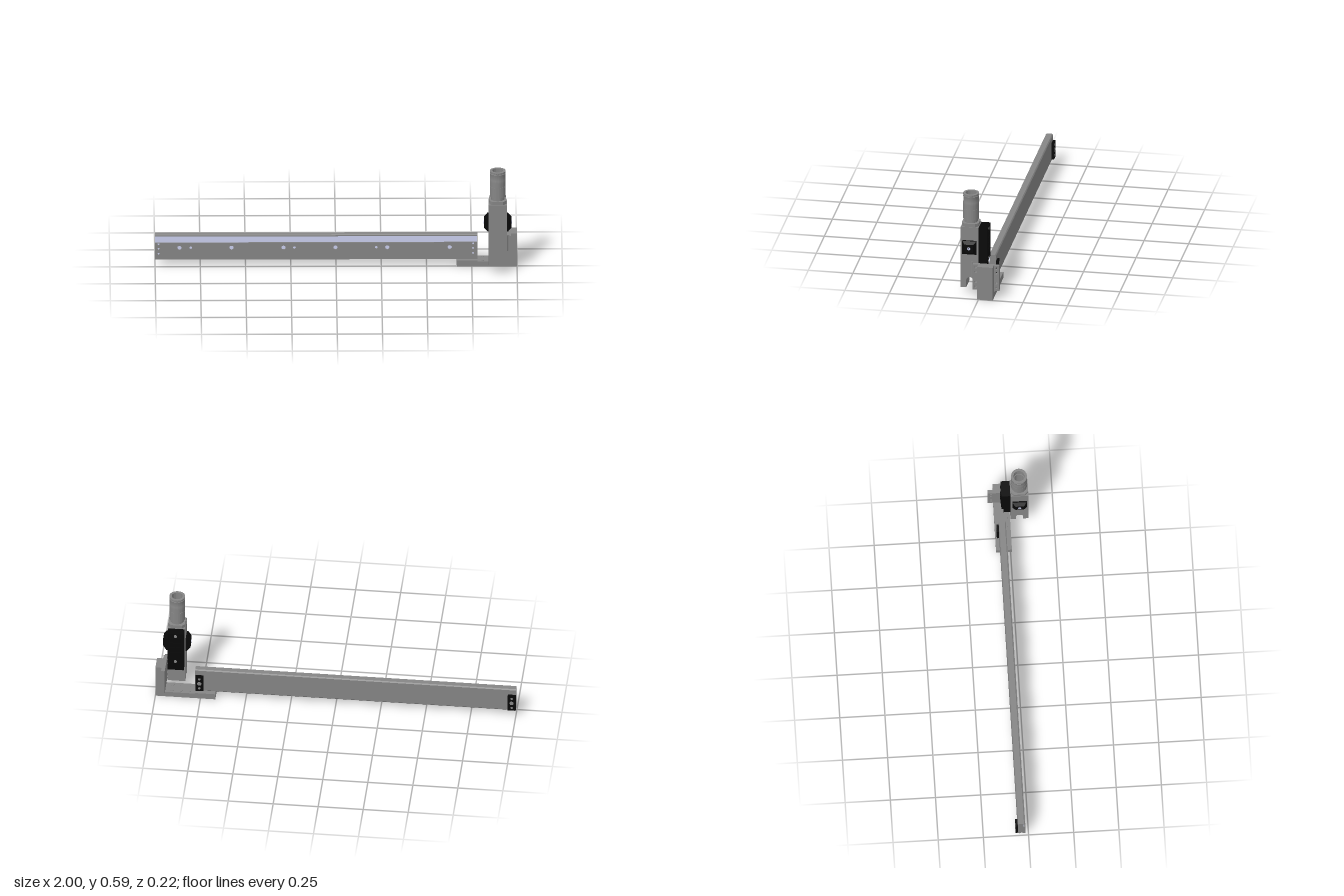
import * as THREE from 'three';
import { toCreasedNormals } from 'three/addons/utils/BufferGeometryUtils.js';

const mat = (color) => new THREE.MeshStandardMaterial({ color });
const grey = mat(0x858585);
const black = mat(0x080808);
const lavender = mat(0xcacfee);

export function createModel() {
  const model = new THREE.Group();

  const add = (name, geometry, material = grey) => {
    const mesh = new THREE.Mesh(geometry, material);
    mesh.name = name;
    model.add(mesh);
  };
  // Box given by its min and max on each axis
  const box = (name, x0, x1, y0, y1, z0, z1, material) =>
    add(name, new THREE.BoxGeometry(x1 - x0, y1 - y0, z1 - z0)
      .translate((x0 + x1) / 2, (y0 + y1) / 2, (z0 + z1) / 2), material);
  const polygon = (points) => new THREE.Shape(points.map(([a, b]) => new THREE.Vector2(a, b)));
  const rect = (a0, a1, b0, b1) => polygon([[a0, b0], [a1, b0], [a1, b1], [a0, b1]]);
  const punch = (shape, a, b, r) => shape.holes.push(new THREE.Path().absarc(a, b, r, 0, Math.PI * 2, true));
  const extrude = (shape, depth) => new THREE.ExtrudeGeometry(shape, { depth, bevelEnabled: false, curveSegments: 16 });
  // Shape drawn in (-z, y), swept from x0 to x1
  const sweepX = (shape, x0, x1) => extrude(shape, x1 - x0).rotateY(Math.PI / 2).translate(x0, 0, 0);
  // Shape drawn in (x, -z), swept from y0 to y1
  const sweepY = (shape, y0, y1) => extrude(shape, y1 - y0).rotateX(-Math.PI / 2).translate(0, y0, 0);
  // Small disc facing along z
  const stud = (name, x, y, z, r, h) =>
    add(name, new THREE.CylinderGeometry(r, r, h, 16).rotateX(Math.PI / 2).translate(x, y, z));

  // Long rail: back section with a top lip and a groove under it
  const railEnd = 0.781;
  add('railBody', sweepX(polygon([
    [0.027, 0.035], [0.033, 0.035], [0.033, 0.042], [0.041, 0.042], [0.041, 0.035], [0.052, 0.035],
    [0.059, 0.042], [0.059, 0.175], [0.054, 0.181], [0.025, 0.181], [0.02, 0.177],
    [0.02, 0.171], [0.027, 0.171],
  ]), -1, railEnd));
  box('railInnerStrip', -0.999, railEnd - 0.001, 0.05, 0.171, -0.031, -0.024, lavender);

  // Rail front cover with screw holes
  const cover = rect(-1, railEnd, 0.035, 0.135);
  [-0.865, -0.577, -0.29, -0.003, 0.283, 0.628].forEach((x) => punch(cover, x, 0.105, 0.012));
  [-0.802, -0.23, 0.222].forEach((x) => punch(cover, x, 0.105, 0.008));
  [-0.98, 0.757].forEach((x) => [0.07, 0.1, 0.127].forEach((y) => punch(cover, x, y, 0.006)));
  add('railFrontCover', extrude(cover, 0.01).translate(0, 0, -0.027));

  // Black end plates with screws on the back of the rail
  [-0.978, 0.757].forEach((x) => {
    add('railEndPlate', extrude(rect(x - 0.022, x + 0.022, 0.045, 0.145), 0.013).translate(0, 0, -0.072), black);
    [[0.064, 0.007], [0.095, 0.012], [0.126, 0.007]].forEach(([y, r]) => stud('railEndScrew', x, y, -0.072, r, 0.003));
  });

  // Angle bracket: base, end wall and drilled flange
  box('bracketBase', 0.667, 0.97, 0, 0.031, -0.08, 0.008);
  box('bracketRailSeat', 0.667, railEnd, 0.031, 0.035, -0.08, 0.008);
  box('bracketWall', 0.965, 1, 0, 0.195, -0.08, 0.008);
  const flange = rect(-0.04, 0.11, 0.045, 0.195);
  [0.062, 0.09, 0.15, 0.177].forEach((y) => [-0.022, 0.093].forEach((a) => punch(flange, a, y, 0.007)));
  add('bracketFlange', sweepX(flange, 0.945, 0.966));
  [0.81, 0.86, 0.91].forEach((x) => [-0.06, -0.012].forEach((z) =>
    add('baseScrew', new THREE.CylinderGeometry(0.008, 0.008, 0.003, 16).translate(x, 0.031, z))));

  // Upright drive housing with a bore from top to bottom
  const cx = 0.893, cz = 0.06, half = 0.05, boreRadius = 0.026, slotRadius = 0.019, archTop = 0.107;
  const section = rect(cx - half, cx + half, -cz - half, -cz + half);
  punch(section, cx, -cz, boreRadius);
  add('housing', sweepY(section, archTop, 0.405));

  // Two legs at the foot, which form an arched slot
  const leg = new THREE.Shape();
  leg.moveTo(slotRadius, 0.045);
  leg.lineTo(half, 0.045);
  leg.lineTo(half, archTop);
  leg.lineTo(0, archTop);
  leg.absarc(0, archTop - slotRadius, slotRadius, Math.PI / 2, 0, true);
  [0, Math.PI].forEach((turn) =>
    add('housingLeg', sweepX(leg, -half, half).rotateY(turn).translate(cx, 0, cz)));

  // Concave fillet between housing and flange
  const fillet = new THREE.Shape();
  fillet.moveTo(cx + half, -0.055);
  fillet.quadraticCurveTo(cx + half, -0.04, cx + half + 0.015, -0.04);
  fillet.lineTo(cx + half, -0.04);
  add('flangeFillet', sweepY(fillet, archTop, 0.2));

  // Black terminal block behind the housing, with ribs and screws
  add('terminalBlock', sweepX(polygon([
    [-0.011, 0.148], [0.028, 0.148], [0.028, 0.203], [0.04, 0.203], [0.04, 0.403], [-0.011, 0.403],
  ]), 0.848, 0.938), black);
  [0.265, 0.3, 0.33, 0.362].forEach((y) => box('terminalRib', 0.863, 0.923, y - 0.013, y + 0.013, -0.044, -0.039, black));
  stud('terminalScrew', cx, 0.388, -0.04, 0.009, 0.004);
  stud('terminalScrew', cx, 0.215, -0.04, 0.009, 0.004);

  // Tapered black side covers, mirrored on both sides
  [-1, 1].forEach((side) => {
    const face = cx + side * half;
    const alongX = (geometry, offset) => geometry.rotateZ(-side * Math.PI / 2).translate(face + side * offset, 0.286, cz);
    add('sideCoverRim', alongX(new THREE.BoxGeometry(0.08, 0.008, 0.08), 0.004), black);
    const taper = new THREE.CylinderGeometry(0.024 * Math.SQRT2, 0.039 * Math.SQRT2, 0.018, 4).rotateY(Math.PI / 4);
    add('sideCoverTaper', alongX(toCreasedNormals(taper, 0.5), 0.017), black);
    add('sideCoverBushing', alongX(new THREE.TorusGeometry(0.006, 0.003, 8, 20).rotateX(Math.PI / 2), 0.026), lavender);
  });

  // Octagonal collar with the bore through it
  const collar = polygon([
    [-0.047, -0.03], [-0.03, -0.047], [0.03, -0.047], [0.047, -0.03],
    [0.047, 0.03], [0.03, 0.047], [-0.03, 0.047], [-0.047, 0.03],
  ]);
  punch(collar, 0, 0, boreRadius);
  add('collar', sweepY(collar, 0.405, 0.424).translate(cx, 0, cz));

  // Hollow round connector on top
  const profile = [
    [boreRadius, 0.424], [0.037, 0.424], [0.037, 0.443], [0.044, 0.443], [0.044, 0.503], [0.0425, 0.503],
    [0.0425, 0.53], [0.044, 0.53], [0.044, 0.543], [0.0435, 0.545], [0.0435, 0.572], [0.044, 0.573],
    [0.044, 0.58], [0.042, 0.581], [0.042, 0.584], [0.044, 0.585], [0.044, 0.593], [0.03, 0.593],
    [0.03, 0.55], [boreRadius, 0.55], [boreRadius, 0.424],
  ].map(([r, y]) => new THREE.Vector2(r, y));
  add('connector', toCreasedNormals(new THREE.LatheGeometry(profile, 48), 0.5).translate(cx, 0, cz));

  // Raised grips around the connector waist
  for (let i = 0; i < 4; i++) {
    const grip = new THREE.CylinderGeometry(0.044, 0.044, 0.027, 12, 1, true, (i * Math.PI) / 2 - 0.35, 0.7);
    add('connectorGrip', grip.translate(cx, 0.5165, cz));
  }
  return model;
}
